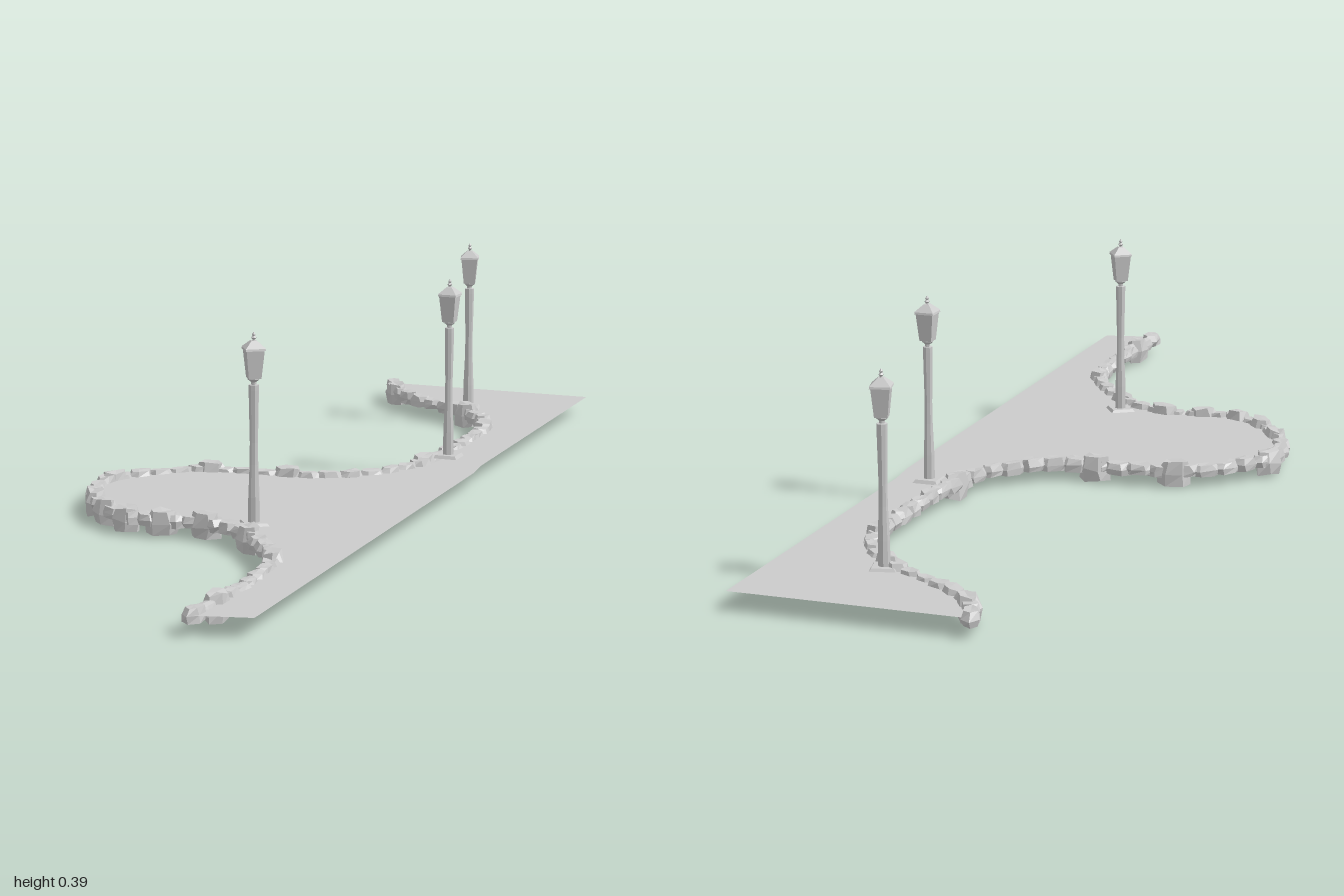
import * as THREE from 'three';

const GROUND = 0.034;
const stoneMat = new THREE.MeshStandardMaterial({ color: 0xcccccc, flatShading: true });
const groundMat = new THREE.MeshStandardMaterial({ color: 0xcccccc, side: THREE.DoubleSide });

// Shoreline as [x, z] from back to front
const SHORE = [
  [-0.125, -1], [-0.085, -0.92], [0, -0.845], [0.1, -0.785], [0.175, -0.7], [0.212, -0.6],
  [0.215, -0.45], [0.208, -0.3], [0.19, -0.2], [0.135, -0.115], [0.055, -0.06], [-0.075, -0.05],
  [-0.18, -0.03], [-0.25, 0.03], [-0.303, 0.11], [-0.3, 0.18], [-0.26, 0.265], [-0.2, 0.335],
  [-0.14, 0.365], [-0.01, 0.355], [0.085, 0.4], [0.16, 0.49], [0.213, 0.58], [0.23, 0.71],
  [0.23, 0.85], [0.22, 0.97],
];
// Places of the large hanging blocks
const BLOCKS = [
  [-0.09, -0.93], [0.12, -0.77], [0.212, -0.6], [0.2, -0.25], [0, -0.055], [-0.16, -0.04],
  [-0.3, 0.1], [-0.27, 0.25], [-0.215, 0.32], [-0.16, 0.358], [-0.09, 0.362], [0, 0.355],
  [0.11, 0.42], [0.215, 0.58], [0.23, 0.87],
];

let seed = 7;
function rand() {
  seed = (seed * 16807) % 2147483647;
  return seed / 2147483647;
}

// Faceted stone: a jittered six-sided drum, narrower on top
function makeStone(name, x, z, angle, length, width, bottom, top) {
  const geo = new THREE.CylinderGeometry(0.38, 0.46, 1, 6, 2);
  const p = geo.attributes.position;
  const moved = new Map();
  for (let i = 0; i < p.count; i++) {
    const v = new THREE.Vector3().fromBufferAttribute(p, i);
    const key = v.toArray().map((n) => Math.round(n * 100)).join();
    if (!moved.has(key)) {
      const grow = Math.abs(v.y) < 0.1 ? 1.22 : 1;
      moved.set(key, [
        v.x * grow + (rand() - 0.5) * 0.12,
        v.y + (rand() - 0.5) * 0.16,
        v.z * grow + (rand() - 0.5) * 0.12,
      ]);
    }
    p.setXYZ(i, ...moved.get(key));
  }
  geo.scale(width, top - bottom, length);
  geo.computeVertexNormals();
  const stone = new THREE.Mesh(geo, stoneMat);
  stone.name = name;
  stone.position.set(x, (bottom + top) / 2, z);
  stone.rotation.y = angle;
  return stone;
}

// Lamp post with a tapered four-sided lantern
function makeLamp(x, z, lift, turn) {
  const lamp = new THREE.Group();
  lamp.name = 'lampPost';
  const add = (name, geo, y) => {
    const mesh = new THREE.Mesh(geo, stoneMat);
    mesh.name = name;
    mesh.position.y = y;
    lamp.add(mesh);
  };
  const square = (top, bottom, height) =>
    new THREE.CylinderGeometry(top * Math.SQRT2, bottom * Math.SQRT2, height, 4).rotateY(Math.PI / 4);
  const lathe = (points, sides) =>
    new THREE.LatheGeometry(points.map(([r, y]) => new THREE.Vector2(r, y)), sides);

  add('footPlate', square(0.02, 0.024, 0.006), 0.002);
  add('pole', lathe([[0.011, 0], [0.0105, 0.05], [0.008, 0.11], [0.0075, 0.15],
    [0.0095, 0.245], [0.0095, 0.255], [0, 0.256]], 8), 0);
  add('neck', lathe([[0.005, 0.254], [0.005, 0.26], [0.011, 0.265], [0.011, 0.268], [0, 0.268]], 8), 0);
  add('lantern', square(0.0165, 0.0115, 0.052), 0.293);
  add('lanternEave', square(0.0175, 0.0185, 0.004), 0.32);
  add('lanternRoof', square(0.005, 0.0185, 0.013), 0.3285);
  add('finial', lathe([[0.003, 0.334], [0.0025, 0.337], [0.005, 0.34], [0.0025, 0.343],
    [0.0035, 0.346], [0, 0.351]], 6), 0);

  lamp.position.set(x, GROUND + lift, z);
  lamp.rotation.y = turn;
  return lamp;
}

export function createModel() {
  const model = new THREE.Group();
  model.name = 'lakesidePath';
  const curve = new THREE.CatmullRomCurve3(SHORE.map(([x, z]) => new THREE.Vector3(x, 0, z)));
  curve.arcLengthDivisions = 600;

  // Flat ground between the shoreline and the straight edge
  const outline = curve.getSpacedPoints(110).map((v) => new THREE.Vector2(v.x, -v.z));
  outline.push(new THREE.Vector2(0.325, -0.945), new THREE.Vector2(0.322, 0.2),
    new THREE.Vector2(0.315, 0.27), new THREE.Vector2(0.315, 1));
  const ground = new THREE.Mesh(
    new THREE.ShapeGeometry(new THREE.Shape(outline)).rotateX(-Math.PI / 2), groundMat);
  ground.name = 'ground';
  ground.position.y = GROUND;
  model.add(ground);

  // Row of small edging stones
  const edging = new THREE.Group();
  edging.name = 'stoneEdging';
  const count = Math.round(curve.getLength() / 0.042);
  for (let i = 0; i < count; i++) {
    const t = (i + 0.5) / count;
    const p = curve.getPointAt(t);
    const d = curve.getTangentAt(t);
    edging.add(makeStone('edgingStone', p.x, p.z, Math.atan2(d.x, d.z) + (rand() - 0.5) * 0.2,
      0.05 + rand() * 0.012, 0.03 + rand() * 0.01, 0.018 + rand() * 0.004, 0.04 + rand() * 0.005));
  }

  // Larger blocks reaching down to the base
  const samples = curve.getSpacedPoints(300);
  for (const [x, z] of BLOCKS) {
    const target = new THREE.Vector3(x, 0, z);
    let best = 0;
    samples.forEach((s, i) => {
      if (s.distanceTo(target) < samples[best].distanceTo(target)) best = i;
    });
    const p = samples[best];
    const d = curve.getTangentAt(best / 300);
    edging.add(makeStone('largeBlock', p.x, p.z, Math.atan2(d.x, d.z), 0.064, 0.042, 0.004, 0.049));
  }
  model.add(edging);

  model.add(makeLamp(0.085, 0.345, 0, 0.6));
  model.add(makeLamp(0.116, -0.795, 0, 0.25));
  model.add(makeLamp(0.24, -0.29, 0.008, 0));
  return model;
}
